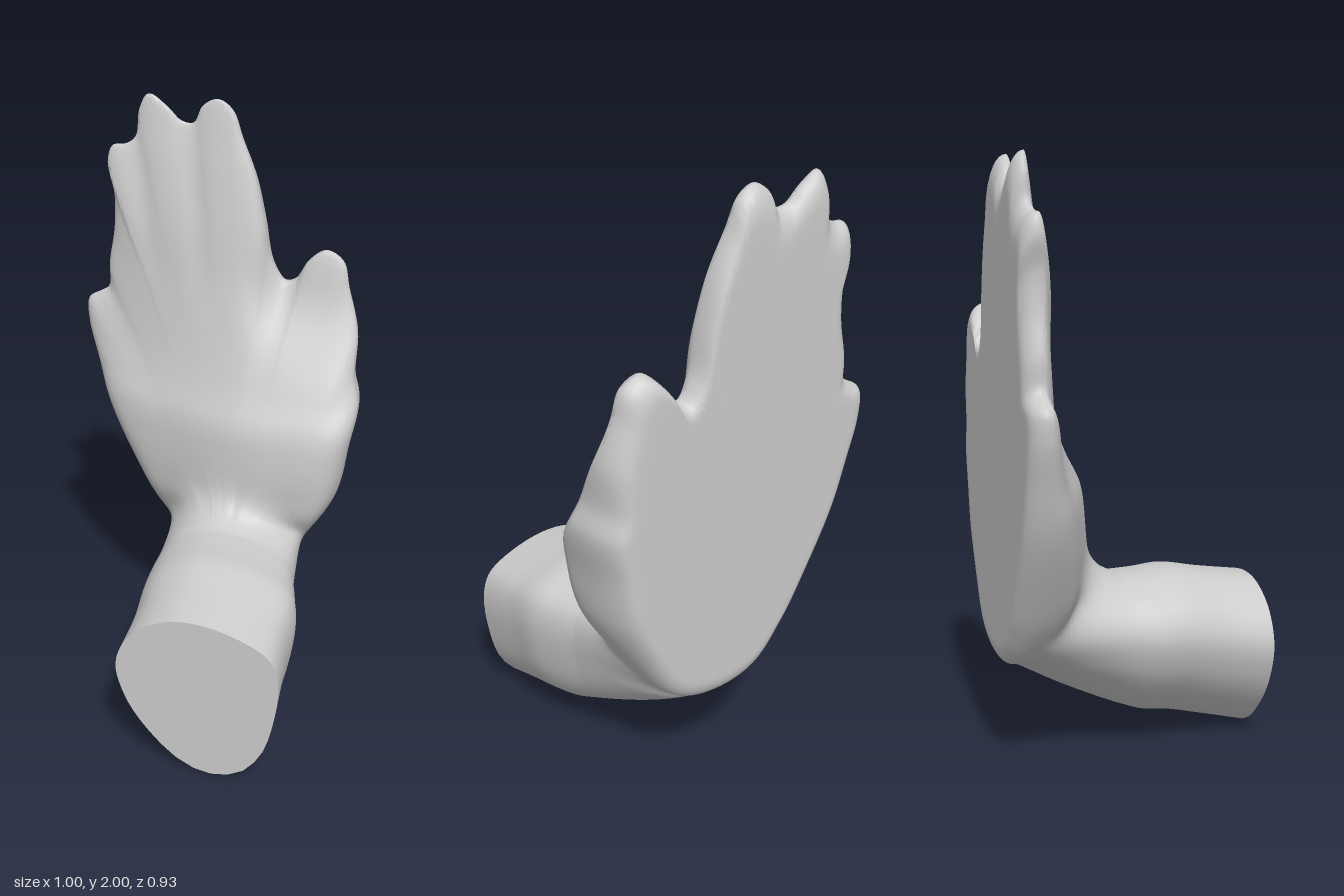
import * as THREE from 'three';
import { toCreasedNormals } from 'three/addons/utils/BufferGeometryUtils.js';

const BACK = -0.465, FRONT = 0.465;
const smooth = THREE.MathUtils.smoothstep;
const bump = (d, w) => Math.exp(-d * d / (w * w));

// smooth curve through rows of [key, value, value...]
function keyed(rows) {
  const n = rows[0].length - 1;
  const interp = new THREE.CubicInterpolant(rows.map(r => r[0]), rows.flatMap(r => r.slice(1)), n, new Float32Array(n));
  return k => Array.from(interp.evaluate(k));
}

// closed smooth outline, counter-clockwise seen from the front
function outline(points, count) {
  const curve = new THREE.CatmullRomCurve3(points.map(([x, y]) => new THREE.Vector3(x, y, 0)), true, 'centripetal');
  return curve.getPoints(count).slice(0, count);
}

// hand silhouette with fingertips and thumb
const edge = outline([
  [0.1, 0.37], [0.24, 0.41], [0.35, 0.54], [0.44, 0.7], [0.475, 0.88], [0.497, 1.03], [0.475, 1.12],
  [0.47, 1.26], [0.43, 1.4], [0.405, 1.49], [0.345, 1.522], [0.285, 1.48], [0.25, 1.42], [0.21, 1.405],
  [0.165, 1.47], [0.135, 1.62], [0.1, 1.76], [0.05, 1.88], [0.015, 1.965], [-0.035, 1.995],
  [-0.085, 1.97], [-0.115, 1.915], [-0.16, 1.92], [-0.21, 1.965], [-0.27, 2.0], [-0.302, 1.95],
  [-0.315, 1.86], [-0.345, 1.835], [-0.395, 1.825], [-0.412, 1.77], [-0.39, 1.67], [-0.392, 1.55],
  [-0.415, 1.42], [-0.42, 1.33], [-0.455, 1.305], [-0.495, 1.28], [-0.497, 1.2], [-0.46, 1.06],
  [-0.41, 0.9], [-0.31, 0.7], [-0.2, 0.52], [-0.08, 0.4]
], 336);

// egg-shaped cut end of the forearm
const egg = outline([
  [-0.13, 0.38], [-0.1, 0.25], [-0.03, 0.14], [0.08, 0.035], [0.18, 0], [0.28, 0.025], [0.35, 0.11],
  [0.39, 0.25], [0.4, 0.4], [0.37, 0.48], [0.25, 0.545], [0.12, 0.57], [0.02, 0.555], [-0.08, 0.49]
], 140);

// forearm extents: z, bottom, top, right edge, left edge
const forearmAt = keyed([
  [-0.03, 0.142, 0.621, -0.138, 0.343], [0.07, 0.1, 0.62, -0.142, 0.37], [0.17, 0.08, 0.622, -0.135, 0.393],
  [0.3, 0.045, 0.597, -0.125, 0.392], [0.465, 0, 0.57, -0.13, 0.4]
]);

// egg point moved to its place at depth z
function onForearm(p, z, scale = 1) {
  const [y0, y1, x0, x1] = forearmAt(z);
  const u = (p.x + 0.13) / 0.53 - 0.5, v = p.y / 0.57 - 0.5;
  return [(x0 + x1) / 2 + u * scale * (x1 - x0), (y0 + y1) / 2 + v * scale * (y1 - y0), z];
}

// egg point that lies in the same direction from the wrist as a silhouette point
function eggToward(target) {
  const ox = 0.1, oy = 0.5, dx = target.x - ox, dy = target.y - oy;
  for (let i = 0; i < egg.length; i++) {
    const p = egg[i], q = egg[(i + 1) % egg.length];
    const [px, py] = onForearm(p, 0), [qx, qy] = onForearm(q, 0);
    const a = dx * (py - oy) - dy * (px - ox), b = dx * (qy - oy) - dy * (qx - ox);
    if (a <= 0 && b > 0) return p.clone().lerp(q, a / (a - b));
  }
}

// thickness of the hand, thinner at the thumb, the little finger side and between the fingers
const depthAt = keyed([
  [0.35, 0.06], [0.5, 0.22], [0.62, 0.31], [0.72, 0.332], [0.85, 0.335], [0.95, 0.32], [1.05, 0.27],
  [1.2, 0.215], [1.4, 0.16], [1.6, 0.128], [1.8, 0.1], [1.9, 0.085], [2, 0.075]
]);
function thickness(x, y) {
  const fingers = smooth(y, 1.25, 1.8);
  let d = depthAt(y)[0];
  d *= 1 - 0.48 * smooth(0.2 - x, 0, 0.65) * (1 - 0.75 * smooth(y, 1.1, 1.7));
  d *= 1 - 0.3 * smooth(x, 0.12, 0.36) * smooth(y, 1.05, 1.4);
  d *= 1 - 0.1 * fingers * bump(x + 0.12 - (1.91 - y) * 0.1, 0.045);
  d *= 1 - 0.1 * fingers * bump(x + 0.31 - (1.84 - y) * 0.16, 0.04);
  return d * (1 - 0.25 * bump(Math.hypot(x - 0.21, (y - 1.4) * 0.7), 0.09));
}

// how far forward the widest line of the side sits, as a share of the thickness
const rimAt = p => 0.5 + 0.2 * Math.max(smooth(p.y, 1.3, 1.9), smooth(p.x, 0, 0.45) * smooth(p.y, 0.5, 0.9));

// one continuous skin from the cut forearm over the wrist to the palm
function makeRings() {
  const start = edge.map(eggToward);
  const rings = [];

  // cut end and forearm
  rings.push(start.map(p => onForearm(p, FRONT, 0)));
  const F = 22, WRIST = -0.03;
  for (let i = 0; i <= F; i++) rings.push(start.map(p => onForearm(p, FRONT + (WRIST - FRONT) * i / F)));

  // wrist spreading into the back of the hand, quickly on top and slowly below
  const H = 60;
  for (let i = 1; i <= H; i++) {
    const s = 0.5 - 0.5 * Math.cos(Math.PI * i / H);
    rings.push(edge.map((p, j) => {
      const [wx, wy] = onForearm(start[j], WRIST);
      const x = wx + (p.x - wx) * s, y = wy + (p.y - wy) * s;
      const rim = rimAt(p);
      const dome = rim + (1 - rim) * Math.sqrt(Math.max(0, 1 - s ** 5));
      const z = BACK + thickness(x, y) * dome;
      const length = Math.hypot(p.x - wx, p.y - wy);
      const drop = 1.3 + smooth(p.y, 0.4, 0.65) * (3 + 17 * length);
      return [x, y, WRIST + (z - WRIST) * (1 - (1 - s) ** drop)];
    }));
  }

  // rounded sides, softer along the thumb, and flat palm
  const palm = (scale, height) => rings.push(edge.map(p => {
    const inset = (1 - scale) * (1 + 0.4 * smooth(p.x, 0.2, 0.45));
    return [p.x - (p.x - 0.02) * inset, p.y - (p.y - 1) * inset, BACK + thickness(p.x, p.y) * rimAt(p) * height];
  }));
  for (let i = 1; i <= 8; i++) {
    const a = i / 8 * Math.PI / 2;
    palm(0.89 + 0.11 * Math.cos(a), 1 - Math.sin(a));
  }
  for (const scale of [0.85, 0.6]) palm(scale, 0);
  rings.push(edge.map(() => [0.02, 1, BACK]));
  return rings;
}

// joins rings ordered from front to back
function skin(rings, crease) {
  const n = rings[0].length, index = [];
  for (let i = 0; i < rings.length - 1; i++) {
    for (let j = 0; j < n; j++) {
      const k = (j + 1) % n;
      const a = i * n + j, b = (i + 1) * n + j, c = (i + 1) * n + k, d = i * n + k;
      index.push(a, b, c, a, c, d);
    }
  }
  const geo = new THREE.BufferGeometry();
  geo.setAttribute('position', new THREE.Float32BufferAttribute(rings.flat(2), 3));
  geo.setIndex(index);
  return toCreasedNormals(geo, crease);
}

export function createModel() {
  const model = new THREE.Group();
  model.name = 'raisedHand';
  const mesh = new THREE.Mesh(skin(makeRings(), 1.2), new THREE.MeshStandardMaterial({ color: 0xcccccc }));
  mesh.name = 'handAndForearm';
  model.add(mesh);
  return model;
}
